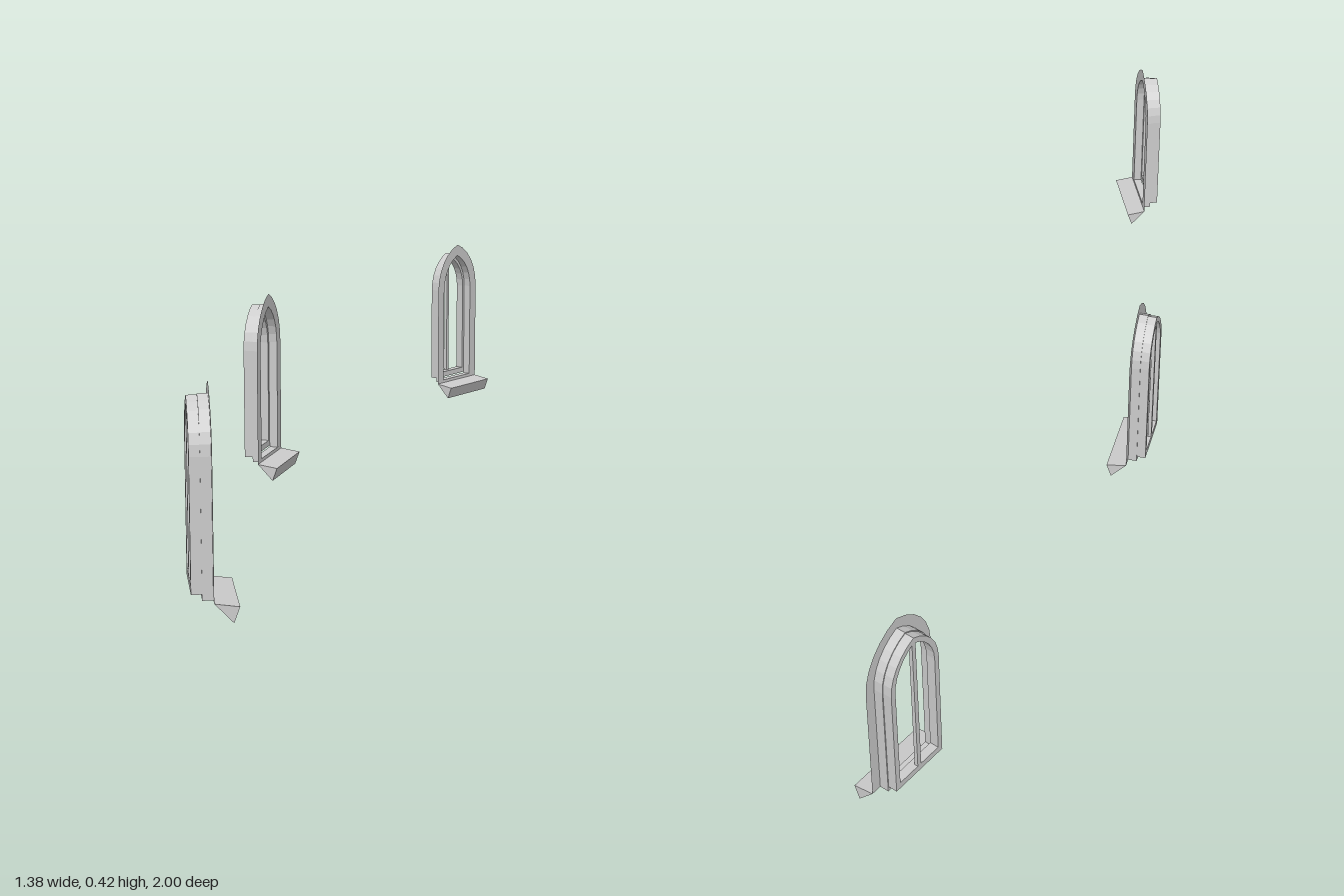
import * as THREE from 'three';

const HALF = 0.094;    // half width of the outer trim
const SPRING = 0.3;    // height where the arch starts
const OFFSET = 0.036;  // arc centres lie this far past the middle
const SEGS = 6;

const material = new THREE.MeshStandardMaterial({
  color: 0xcccccc, flatShading: true, side: THREE.DoubleSide,
});

// Pointed arch outline, inset from the trim, from bottom right round to bottom left
function archPoints(inset, base) {
  const r = HALF + OFFSET - inset;
  const end = Math.acos(OFFSET / r);
  const right = [new THREE.Vector2(r - OFFSET, base)];
  for (let i = 0; i <= SEGS; i++) {
    const a = (end * i) / SEGS;
    right.push(new THREE.Vector2(r * Math.cos(a) - OFFSET, SPRING + r * Math.sin(a)));
  }
  const left = right.slice(0, -1).reverse().map((p) => new THREE.Vector2(-p.x, p.y));
  return [...right, ...left];
}

// Closed arched frame with an arched opening, from z = back to z = back + depth
function archFrame(outer, outerBase, inner, innerBase, back, depth) {
  const shape = new THREE.Shape(archPoints(outer, outerBase));
  shape.holes.push(new THREE.Path(archPoints(inner, innerBase)));
  const geo = new THREE.ExtrudeGeometry(shape, { depth, bevelEnabled: false });
  return geo.translate(0, 0, back);
}

// Flat trim standing on the sill, open at the bottom
function trimGeometry() {
  const outline = [...archPoints(0, 0.037), ...archPoints(0.024, 0.037).reverse()];
  return new THREE.ShapeGeometry(new THREE.Shape(outline));
}

// Wedge sill shell: sloping top, leaning front and two ends, open underneath
function sillGeometry() {
  const section = [[0.037, 0], [0.03, 0.046], [0, 0.035]]; // y, z
  const at = (side, i) => [side * HALF, ...section[i]];
  const positions = [];
  for (const i of [0, 1]) {
    positions.push(
      ...at(-1, i), ...at(-1, i + 1), ...at(1, i + 1),
      ...at(-1, i), ...at(1, i + 1), ...at(1, i),
    );
  }
  positions.push(...at(1, 0), ...at(1, 1), ...at(1, 2));
  positions.push(...at(-1, 0), ...at(-1, 2), ...at(-1, 1));
  const geo = new THREE.BufferGeometry();
  geo.setAttribute('position', new THREE.Float32BufferAttribute(positions, 3));
  geo.computeVertexNormals();
  return geo;
}

const parts = {
  trim: trimGeometry(),
  casing: archFrame(0.023, 0.037, 0.029, 0.045, -0.02, 0.02),
  innerFrame: archFrame(0.025, 0.048, 0.037, 0.062, -0.04, 0.02),
  mullion: new THREE.BoxGeometry(0.01, 0.33, 0.008).translate(0, 0.222, -0.036),
  sill: sillGeometry(),
};

function makeWindow(name, x, z, degrees) {
  const group = new THREE.Group();
  group.name = name;
  for (const [partName, geometry] of Object.entries(parts)) {
    const mesh = new THREE.Mesh(geometry, material);
    mesh.name = partName;
    group.add(mesh);
  }
  group.position.set(x, 0, z);
  group.rotation.y = THREE.MathUtils.degToRad(degrees);
  return group;
}

export function createModel() {
  const model = new THREE.Group();
  model.name = 'archedWindows';
  // Three windows set on a curved wall, each turned an equal step
  model.add(
    makeWindow('rearWindow', -0.636, -0.897, 101.25),
    makeWindow('middleWindow', -0.21, 0.142, 123.75),
    makeWindow('frontWindow', 0.583, 0.928, 146.25),
  );
  return model;
}
